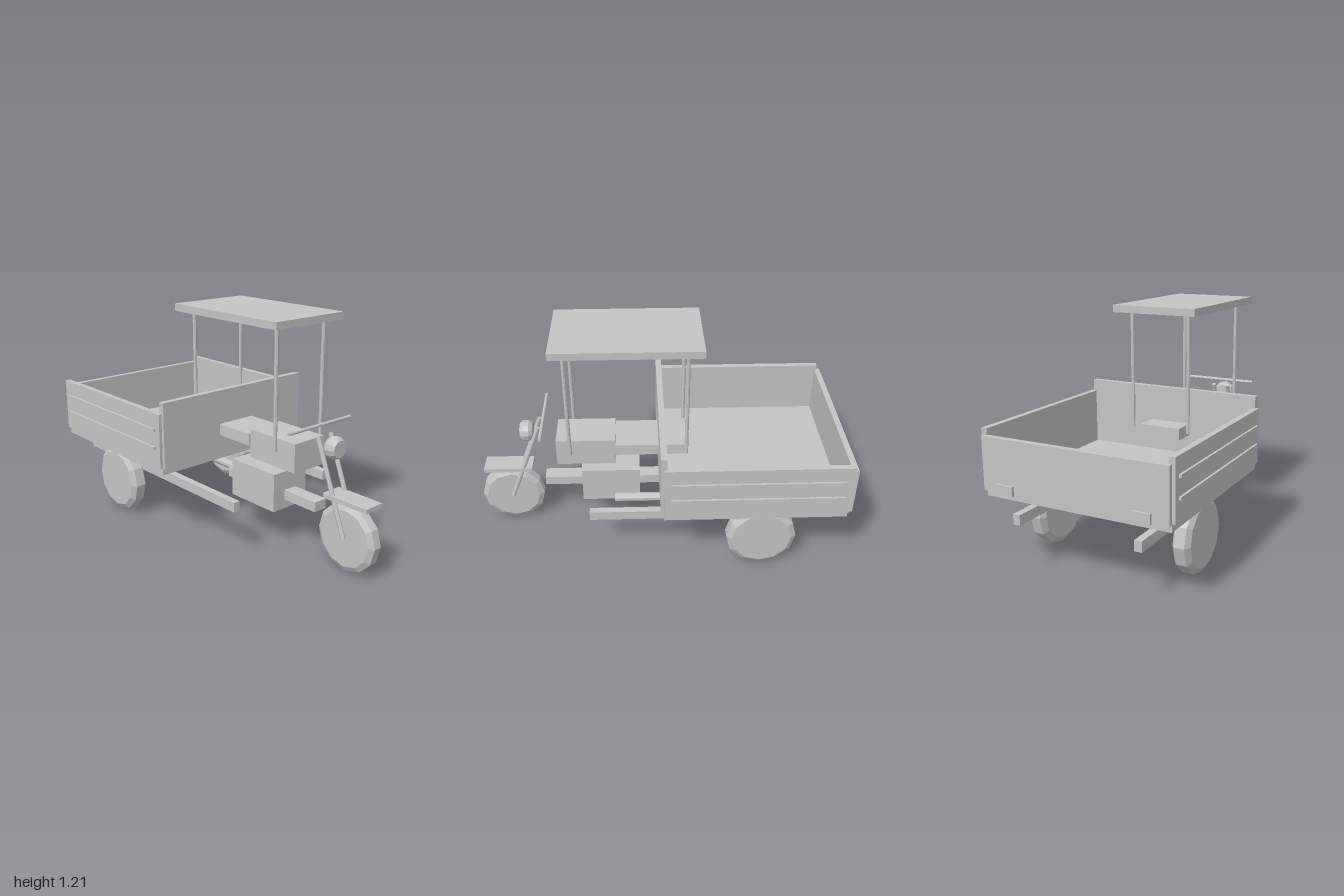
import * as THREE from 'three';

export function createModel() {
  const group = new THREE.Group();
  const grey = new THREE.MeshStandardMaterial({ color: 0xc4c4c4, flatShading: true });
  grey.name = 'plain grey';

  const add = (name, geometry) => {
    const mesh = new THREE.Mesh(geometry, grey);
    mesh.name = name;
    group.add(mesh);
    return mesh;
  };
  // Box given by its limits on each axis
  const box = (name, x0, x1, y0, y1, z0, z1) =>
    add(name, new THREE.BoxGeometry(x1 - x0, y1 - y0, z1 - z0))
      .position.set((x0 + x1) / 2, (y0 + y1) / 2, (z0 + z1) / 2);
  // Round bar between two points
  const bar = (name, a, b, radius, sides = 8) => {
    const from = new THREE.Vector3(...a), to = new THREE.Vector3(...b);
    const dir = to.clone().sub(from);
    const mesh = add(name, new THREE.CylinderGeometry(radius, radius, dir.length(), sides));
    mesh.position.copy(from).add(to).multiplyScalar(0.5);
    mesh.quaternion.setFromUnitVectors(new THREE.Vector3(0, 1, 0), dir.normalize());
  };
  // Disc with bevelled rims, turned about y
  const bevelledDisc = (radius, half, bevelR, bevelW) => new THREE.LatheGeometry([
    [0, -half], [radius - bevelR, -half], [radius, -half + bevelW],
    [radius, half - bevelW], [radius - bevelR, half], [0, half],
  ].map(p => new THREE.Vector2(...p)), 12);
  const wheel = (name, x, z, radius, half, bevelW) => {
    const mesh = add(name, bevelledDisc(radius, half, 0.028, bevelW));
    mesh.rotation.z = Math.PI / 2;
    mesh.position.set(x, radius, z);
  };

  // Cargo bed
  box('bedFloor', -0.489, 0.489, 0.37, 0.408, -0.965, -0.02);
  box('headboard', -0.489, 0.489, 0.408, 0.762, -0.035, -0.003);
  box('tailgate', -0.489, 0.489, 0.405, 0.668, -0.987, -0.956);

  // Chassis, engine and seat
  box('centreBeam', -0.04, 0.04, 0.25, 0.302, -0.02, 0.634);
  box('engine', -0.117, 0.117, 0.2, 0.405, 0.1, 0.42);
  box('fuelTank', -0.105, 0.105, 0.447, 0.6, 0.23, 0.55);
  box('seat', -0.116, 0.116, 0.512, 0.575, -0.16, 0.23);
  bar('exhaust', [0.132, 0.223, 0.243], [0.132, 0.223, -0.4], 0.025, 10);

  // Canopy
  box('canopy', -0.233, 0.233, 1.175, 1.213, -0.227, 0.537);

  // Steering
  box('frontFender', -0.058, 0.058, 0.357, 0.381, 0.7, 0.968);
  bar('handlebar', [-0.22, 0.694, 0.616], [0.22, 0.694, 0.616], 0.009);
  const headlight = add('headlight', bevelledDisc(0.057, 0.034, 0.013, 0.019));
  headlight.rotation.x = Math.PI / 2;
  headlight.position.set(0, 0.603, 0.714);
  wheel('frontWheel', 0, 0.826, 0.176, 0.038, 0.016);

  // Parts mirrored left and right
  for (const s of [-1, 1]) {
    const sideBox = (name, x0, x1, ...rest) =>
      box(name, Math.min(s * x0, s * x1), Math.max(s * x0, s * x1), ...rest);
    sideBox('bedSide', 0.474, 0.505, 0.408, 0.7, -0.965, -0.02);
    for (const y of [0.513, 0.611]) sideBox('sideRib', 0.505, 0.517, y - 0.008, y + 0.008, -0.93, -0.055);
    sideBox('tailLatch', 0.315, 0.405, 0.4, 0.449, -1, -0.987);
    sideBox('chassisRail', 0.307, 0.345, 0.25, 0.302, -0.965, 0.372);
    for (const z of [0.47, -0.15]) bar('canopyPost', [s * 0.163, 0.555, z], [s * 0.163, 1.178, z], 0.01);
    bar('forkLeg', [s * 0.045, 0.18, 0.826], [s * 0.045, 0.653, 0.644], 0.012);
    wheel('rearWheel', s * 0.4025, -0.543, 0.187, 0.0465, 0.019);
  }
  return group;
}
